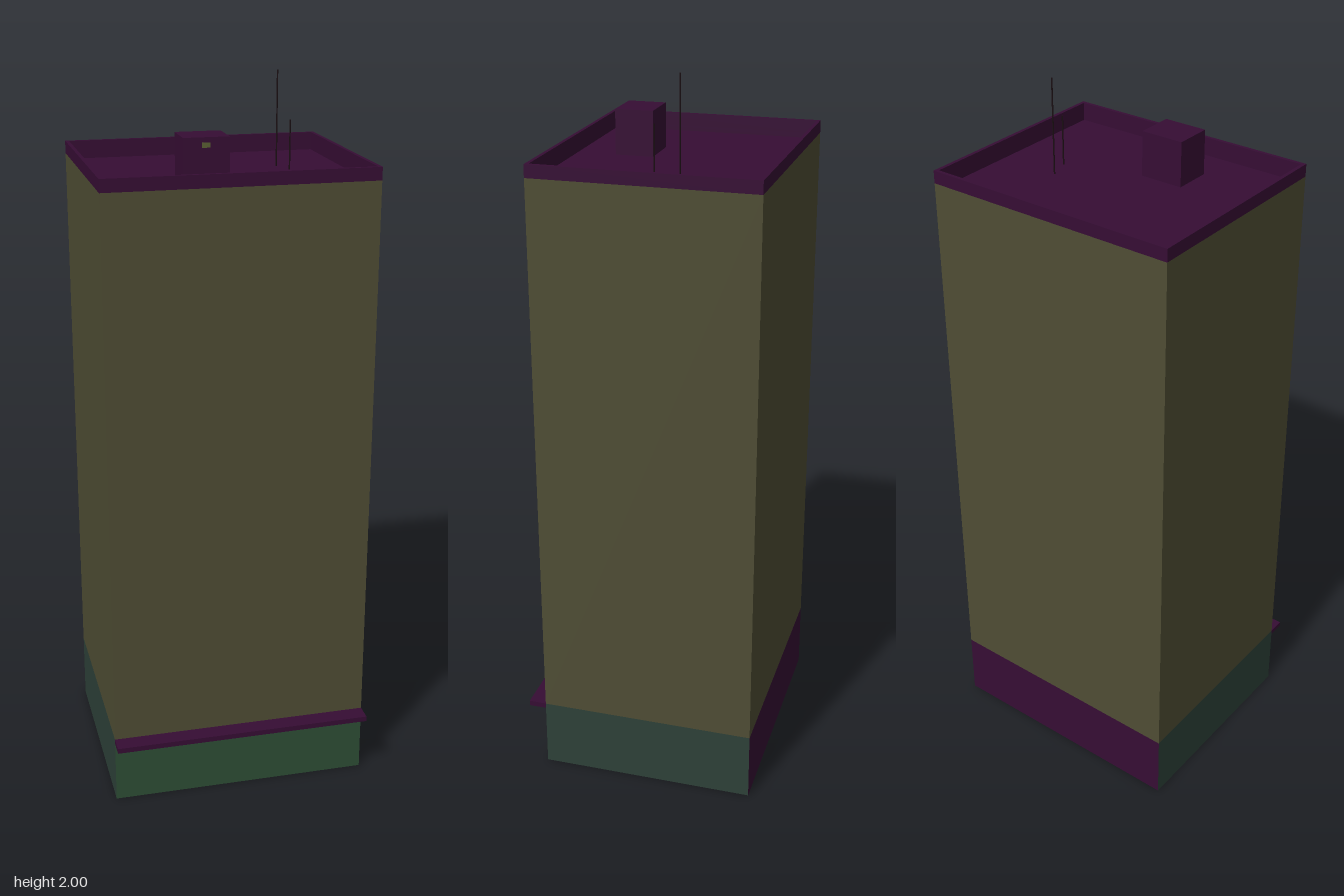
import * as THREE from 'three';

const material = (name, color, side = THREE.FrontSide) => {
  const m = new THREE.MeshStandardMaterial({ color, side });
  m.name = name;
  return m;
};

export function createModel() {
  const group = new THREE.Group();
  group.name = 'towerBlock';
  const khaki = material('khaki wall', 0x4f4d34, THREE.DoubleSide);
  const green = material('green shopfront', 0x2d4e35, THREE.DoubleSide);
  const teal = material('teal base', 0x2d4138, THREE.DoubleSide);
  const plum = material('plum trim', 0x360d34, THREE.DoubleSide);
  const dark = material('dark mast', 0x1c1014);
  const olive = material('olive sign', 0x5a6034);

  const W = 0.734, D = 0.61, Z = -0.025; // footprint and its centre in z
  const BASE = 0.197, WALL = 1.755, ROOF = 1.74, TOP = 1.79;

  const add = (name, geometry, mat, x, y, z) => {
    const mesh = new THREE.Mesh(geometry, mat);
    mesh.name = name;
    mesh.position.set(x, y, z);
    group.add(mesh);
    return mesh;
  };

  // Four open walls, each a base strip with the tower wall above it
  const sides = [
    ['front', 0, green, W, 0, Z + D / 2],
    ['left', Math.PI / 2, teal, D, W / 2, Z],
    ['back', Math.PI, plum, W, 0, Z - D / 2],
    ['right', -Math.PI / 2, teal, D, -W / 2, Z],
  ];
  for (const [side, turn, baseMat, width, x, z] of sides) {
    const strip = (name, y0, y1, mat) => {
      add(side + name, new THREE.PlaneGeometry(width, y1 - y0), mat, x, (y0 + y1) / 2, z).rotation.y = turn;
    };
    strip('Base', 0, BASE, baseMat);
    strip('Wall', BASE, WALL, khaki);
  }

  // Rectangular ring, inset from the footprint
  const ring = (name, inset, y0, y1) => {
    const rect = (path, i) => {
      const a = W / 2 - i, b = D / 2 - i;
      return path.moveTo(-a, -b).lineTo(a, -b).lineTo(a, b).lineTo(-a, b).closePath();
    };
    const shape = rect(new THREE.Shape(), inset);
    shape.holes.push(rect(new THREE.Path(), 0.01));
    const geometry = new THREE.ExtrudeGeometry(shape, { depth: y1 - y0, bevelEnabled: false });
    add(name, geometry.rotateX(-Math.PI / 2), plum, 0, y0, Z);
  };
  ring('parapet', 0, WALL, TOP);
  ring('parapetLining', 0.004, ROOF, WALL);

  // Sunken roof deck
  add('roofDeck', new THREE.PlaneGeometry(W - 0.008, D - 0.008).rotateX(-Math.PI / 2), plum, 0, ROOF, Z);

  // Entrance canopy
  add('canopy', new THREE.BoxGeometry(W, 0.015, 0.05), plum, 0, 0.19, 0.305);

  // Rooftop hut with a small plate on its front
  add('roofHut', new THREE.BoxGeometry(0.123, 0.123, 0.105), plum, -0.0685, ROOF + 0.0615, 0.1095);
  add('hutPlate', new THREE.BoxGeometry(0.022, 0.013, 0.004), olive, -0.07, 1.843, 0.162);

  // Masts
  for (const [name, x, z, top] of [['tallMast', 0.183, -0.072, 2], ['shortMast', 0.203, -0.01, 1.875]]) {
    add(name, new THREE.CylinderGeometry(0.002, 0.002, top - ROOF, 6), dark, x, (top + ROOF) / 2, z);
  }
  return group;
}
